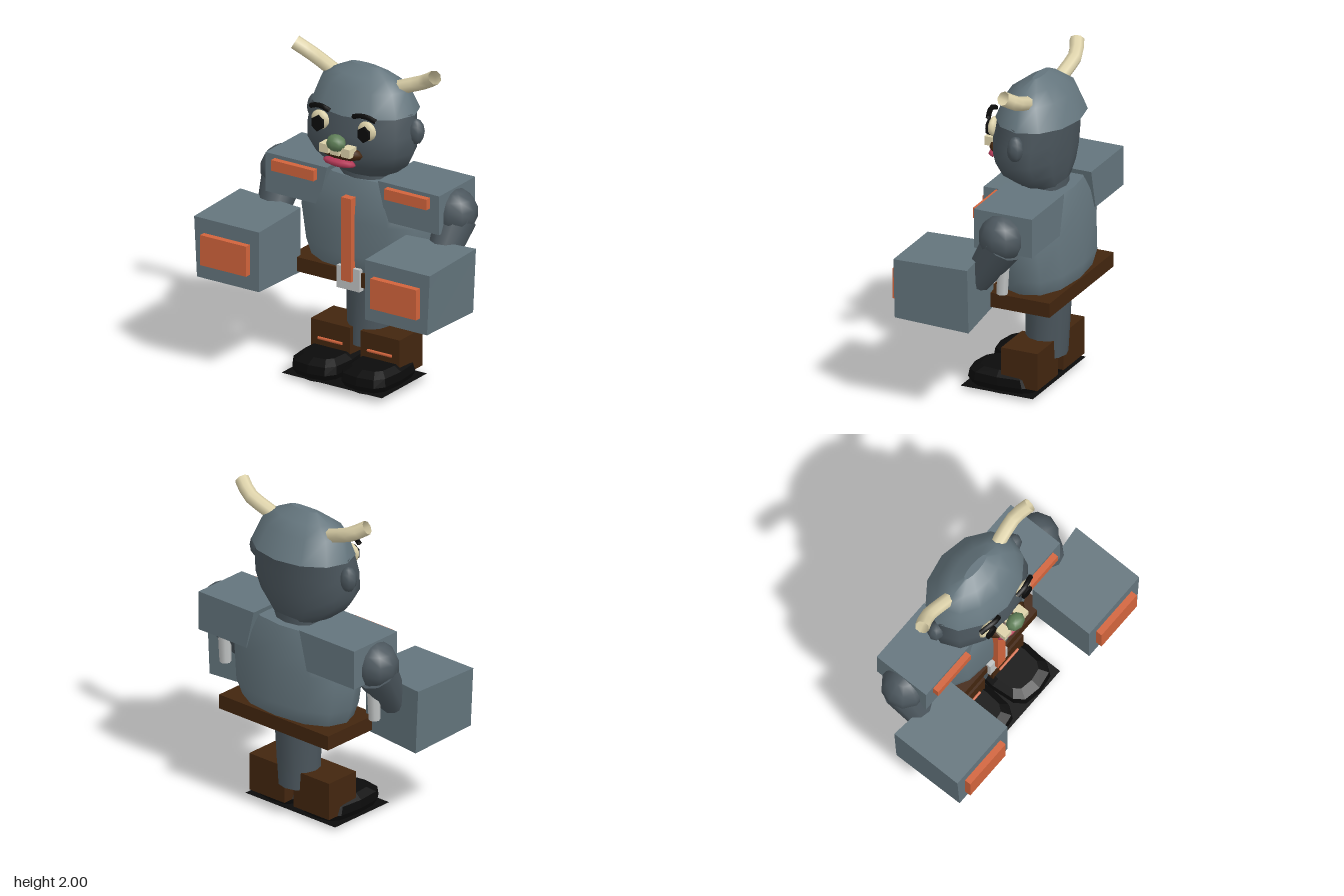
import * as THREE from 'three';

const mat = (name, color, side = THREE.FrontSide) => {
  const m = new THREE.MeshStandardMaterial({ color, side });
  m.name = name;
  return m;
};

// Closed loft from bottom to top; each section is [y, halfWidth, zFront, zBack]
function loft(sections, n = 12, power = 1) {
  const pos = [], idx = [];
  const ring = ([y, w, zf, zb]) => {
    for (let j = 0; j < n; j++) {
      const a = (j / n) * Math.PI * 2, c = Math.cos(a), s = Math.sin(a);
      pos.push(w * Math.sign(c) * Math.abs(c) ** power, y,
        (zf + zb) / 2 + ((zf - zb) / 2) * Math.sign(s) * Math.abs(s) ** power);
    }
  };
  sections.forEach(ring);
  for (let i = 0; i < sections.length - 1; i++) {
    for (let j = 0; j < n; j++) {
      const a = i * n + j, b = i * n + ((j + 1) % n);
      idx.push(a, a + n, b, b, a + n, b + n);
    }
  }
  // caps with their own vertices
  [sections[0], sections[sections.length - 1]].forEach((s, top) => {
    const base = pos.length / 3;
    ring(s);
    for (let j = 1; j < n - 1; j++) {
      if (top) idx.push(base, base + j + 1, base + j);
      else idx.push(base, base + j, base + j + 1);
    }
  });
  const g = new THREE.BufferGeometry();
  g.setAttribute('position', new THREE.Float32BufferAttribute(pos, 3));
  g.setIndex(idx);
  g.computeVertexNormals();
  return g;
}

// Box given by its limits, with an optional rule for moving corners
function box(x0, x1, y0, y1, z0, z1, rule) {
  const g = new THREE.BoxGeometry(Math.abs(x1 - x0), y1 - y0, z1 - z0);
  if (rule) {
    const p = g.attributes.position, v = new THREE.Vector3();
    for (let i = 0; i < p.count; i++) {
      v.fromBufferAttribute(p, i);
      rule(v);
      p.setXYZ(i, v.x, v.y, v.z);
    }
    g.computeVertexNormals();
  }
  return g.translate((x0 + x1) / 2, (y0 + y1) / 2, (z0 + z1) / 2);
}

const ball = (x, y, z, rx, ry, rz, w = 10, h = 7) =>
  new THREE.SphereGeometry(1, w, h).scale(rx, ry, rz).translate(x, y, z);

// Tapered limb between two points
function limb(a, b, ra, rb, n = 10) {
  const A = new THREE.Vector3(...a), B = new THREE.Vector3(...b), d = B.clone().sub(A);
  const g = new THREE.CylinderGeometry(rb, ra, d.length(), n);
  g.applyQuaternion(new THREE.Quaternion().setFromUnitVectors(new THREE.Vector3(0, 1, 0), d.normalize()));
  return g.translate(...A.add(B).multiplyScalar(0.5).toArray());
}

export function createModel() {
  const model = new THREE.Group();
  const armour = mat('armour grey', 0x64757d);
  const skin = mat('dark grey skin', 0x4b565d);
  const orange = mat('orange', 0xd2643c);
  const brown = mat('brown leather', 0x43260f);
  const black = mat('black', 0x0b0b0b, THREE.DoubleSide);
  const cream = mat('cream', 0xddd2aa, THREE.DoubleSide);
  const green = mat('green', 0x5f7f58);
  const pink = mat('pink', 0xb53a58);
  const silver = mat('silver', 0xc0c3c3);
  const add = (name, geometry, material) => {
    const m = new THREE.Mesh(geometry, material);
    m.name = name;
    model.add(m);
    return m;
  };

  // Torso, belt and central leg column
  add('torso', loft([
    [0.565, 0.31, -0.05, -0.36], [0.68, 0.38, 0, -0.41], [0.78, 0.42, 0.015, -0.435],
    [1.0, 0.455, 0.015, -0.415], [1.15, 0.4, 0, -0.4], [1.255, 0.3, -0.04, -0.37],
  ], 12, 0.85), armour);
  add('neck', loft([[1.2, 0.17, -0.04, -0.32], [1.3, 0.17, -0.04, -0.32]]), skin);
  add('belt', box(-0.43, 0.43, 0.595, 0.685, -0.42, 0.005), brown);
  add('buckle', box(-0.08, 0.08, 0.57, 0.71, -0.02, 0.025), silver);
  add('chestStripe', box(-0.035, 0.035, 0.63, 1.155, -0.02, 0.045), orange);
  add('legs', loft([[0.18, 0.13, -0.07, -0.32], [0.6, 0.145, -0.07, -0.345]]), skin);

  // Head and cap
  add('head', loft([
    [1.265, 0.16, -0.06, -0.31], [1.3, 0.22, -0.02, -0.32], [1.37, 0.31, 0.06, -0.335],
    [1.46, 0.36, 0.1, -0.345], [1.57, 0.36, 0.1, -0.355], [1.7, 0.34, 0.07, -0.365],
  ]), skin);
  add('cap', loft([
    [1.69, 0.347, 0.09, -0.41], [1.83, 0.292, 0.03, -0.335],
    [1.89, 0.2, -0.05, -0.26], [1.938, 0.1, -0.13, -0.18],
  ]), armour);

  // Nose and mouth
  add('nose', ball(0, 1.54, 0.15, 0.065, 0.052, 0.05, 8, 6), green);
  add('mouth', ball(0, 1.465, 0.09, 0.148, 0.05, 0.055, 10, 6), brown);
  add('lowerLip', ball(0, 1.408, 0.115, 0.115, 0.027, 0.045, 10, 6), pink);
  for (const x of [-0.08, -0.004, 0.074])
    add('tooth', box(x - 0.031, x + 0.031, 1.465, 1.52, 0.09, 0.162), cream);

  // Shared base sheet under both shoes
  add('shoeBase', new THREE.PlaneGeometry(0.71, 0.47).rotateX(-Math.PI / 2).translate(0, 0.022, -0.04), black);

  for (const s of [1, -1]) {
    // Face details
    add('eye', ball(s * 0.165, 1.625, 0.07, 0.064, 0.06, 0.028), cream);
    add('pupil', new THREE.CylinderGeometry(0.042, 0.042, 0.02, 6).rotateX(Math.PI / 2)
      .scale(1, 1.2, 1).translate(s * 0.163, 1.612, 0.1), black);
    const brow = add('eyebrow', new THREE.TubeGeometry(new THREE.CatmullRomCurve3([
      new THREE.Vector3(s * 0.085, 1.708, 0.095), new THREE.Vector3(s * 0.13, 1.725, 0.1),
      new THREE.Vector3(s * 0.18, 1.722, 0.09), new THREE.Vector3(s * 0.23, 1.7, 0.075),
    ]), 6, 0.016, 5), black);
    brow.name = s > 0 ? 'leftEyebrow' : 'rightEyebrow';
    add('ear', ball(s * 0.355, 1.59, -0.16, 0.055, 0.08, 0.05, 8, 6), skin);

    // Hollow, bent horn
    add('horn', new THREE.TubeGeometry(new THREE.CatmullRomCurve3([
      new THREE.Vector3(s * 0.2, 1.825, -0.17), new THREE.Vector3(s * 0.29, 1.86, -0.18),
      new THREE.Vector3(s * 0.4, 1.905, -0.185), new THREE.Vector3(s * 0.495, 1.965, -0.15),
    ]), 5, 0.044, 8), cream);

    // Shoulder block and its plate
    add('shoulderBlock', box(s * 0.18, s * 0.615, 1.04, 1.285, -0.395, -0.02,
      (v) => { if (v.y < 0 && v.x * s < 0) v.x += s * 0.06; }), armour);
    add('shoulderPlate', box(s * 0.25, s * 0.55, 1.195, 1.262, -0.03, 0.018), orange);

    // Arm
    add('upperArm', ball(s * 0.605, 1.13, -0.195, 0.14, 0.145, 0.14), skin);
    add('forearm', limb([s * 0.61, 1.09, -0.2], [s * 0.6, 0.83, -0.03], 0.13, 0.085), skin);
    add('elbowPin', limb([s * 0.59, 0.77, -0.19], [s * 0.59, 1.0, -0.2], 0.035, 0.04, 8), silver);

    // Large slightly skewed fist and its plate
    add('fist', box(s * 0.375, s * 0.835, 0.58, 0.985, -0.08, 0.4, (v) => {
      if (v.z > 0) v.y -= Math.sign(v.y) * 0.014;
      if (v.x * s < 0 && v.z < 0) v.z += 0.05;
      if (v.x * s > 0 && v.y < 0) v.x -= s * 0.02;
    }), armour);
    add('fistPlate', box(s * 0.44, s * 0.765, 0.69, 0.88, 0.39, 0.44), orange);

    // Boot, lace and shoe
    add('boot', box(s * 0.037, s * 0.315, 0.06, 0.295, -0.285, -0.05), brown);
    add('lace', limb([s * 0.09, 0.185, -0.045], [s * 0.26, 0.185, -0.045], 0.009, 0.009, 6), orange);
    const shoe = loft([
      [0, 0.14, 0.16, -0.24], [0.06, 0.17, 0.2, -0.27], [0.11, 0.165, 0.19, -0.25], [0.14, 0.12, 0.13, -0.18],
    ], 12, 0.6).toNonIndexed();
    shoe.computeVertexNormals();
    add('shoe', shoe.translate(s * 0.173, 0, 0), black);
  }
  return model;
}
